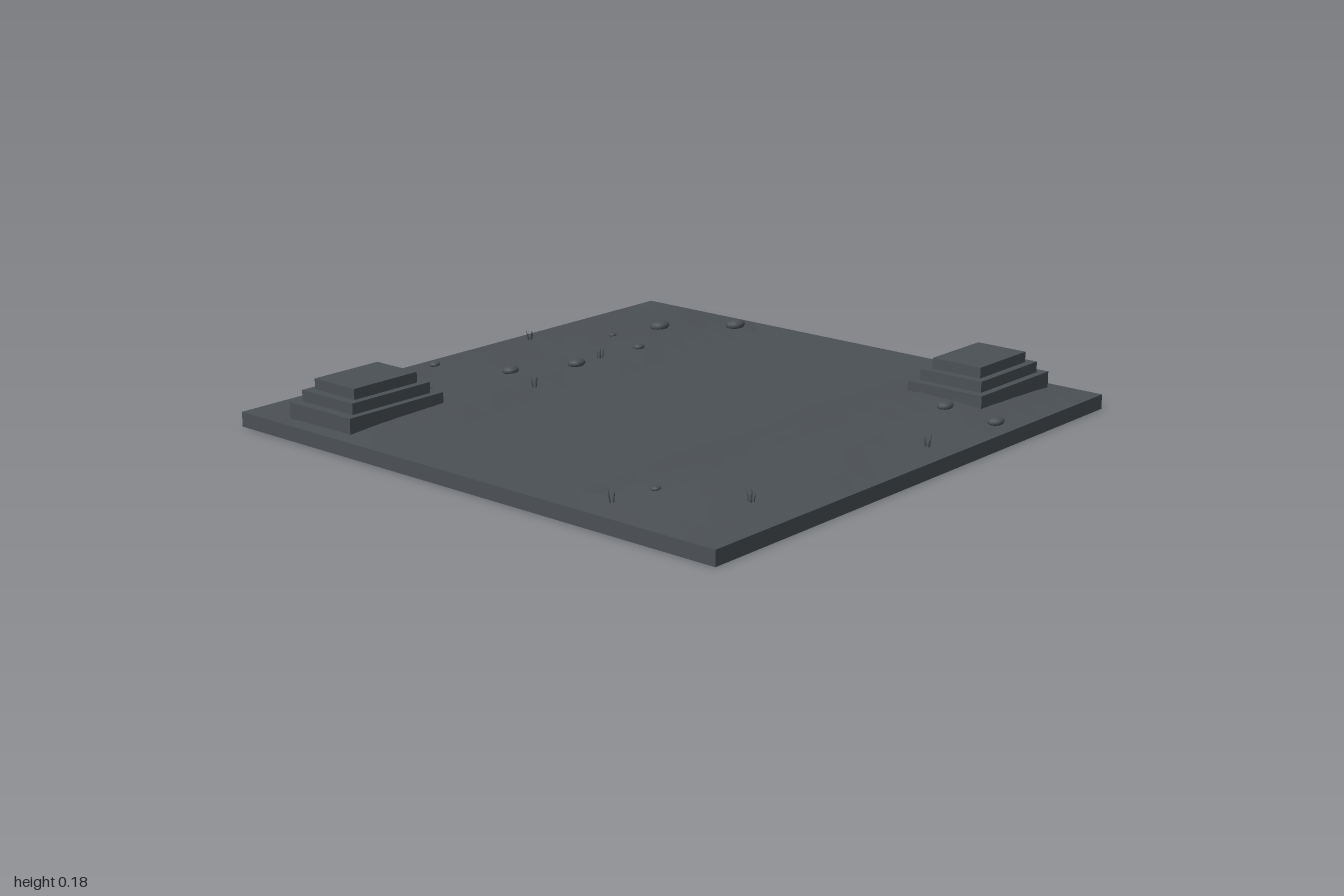
import * as THREE from 'three';

// Embankment cross-section: distance from the centre line -> rise above the slab
const ROWS = [0, 0.37, 0.5, 0.6, 0.75, 0.88, 1];
const RISE = [0, 0, 0.021, 0.029, 0.022, 0.012, 0];
const SLAB = 0.05;

function ground(x, z) {
  const d = Math.min(Math.abs(z), 1);
  let i = 0;
  while (i < ROWS.length - 2 && d > ROWS[i + 1]) i++;
  const t = (d - ROWS[i]) / (ROWS[i + 1] - ROWS[i]);
  return SLAB + (RISE[i] + (RISE[i + 1] - RISE[i]) * t) * (1 - x ** 4);
}

export function createModel() {
  const model = new THREE.Group();
  const stone = new THREE.MeshStandardMaterial({ color: 0x4c5156 });
  stone.name = 'slateGrey';

  const add = (parent, name, geometry, x, y, z) => {
    const mesh = new THREE.Mesh(geometry, stone);
    mesh.name = name;
    mesh.position.set(x, y, z);
    parent.add(mesh);
    return mesh;
  };

  // Ground slab with a flat road between two low, uneven embankments
  const slab = new THREE.BoxGeometry(2, 2, 2, 16, 1, 12);
  const p = slab.attributes.position;
  for (let i = 0; i < p.count; i++) {
    const x = p.getX(i);
    const k = Math.round((p.getZ(i) + 1) * 6) - 6;
    const row = Math.abs(k);
    const inner = row > 0 && row < 6 && Math.abs(x) < 0.99;
    const wobble = inner ? 0.015 * Math.sin(x * 9 + k * 2.3) : 0;
    const z = Math.sign(k) * (ROWS[row] + wobble);
    const y = p.getY(i) > 0 ? SLAB + RISE[row] * (1 - x ** 4) : 0;
    p.setXYZ(i, x, y, z);
  }
  const ground3d = slab.toNonIndexed();
  ground3d.computeVertexNormals();
  add(model, 'ground', ground3d, 0, 0, 0);

  // Two stepped plinths in opposite corners: width, depth, top height
  const steps = [[0.4, 0.29, 0.107], [0.332, 0.24, 0.144], [0.268, 0.188, 0.18]];
  for (const side of [-1, 1]) {
    const plinth = new THREE.Group();
    plinth.name = side < 0 ? 'backPlinth' : 'frontPlinth';
    plinth.position.set(0.75 * side, 0, 0.675 * side);
    let bottom = 0.04;
    for (const [w, d, top] of steps) {
      add(plinth, 'plinthStep', new THREE.BoxGeometry(w, top - bottom, d), 0, (top + bottom) / 2, 0);
      bottom = top;
    }
    model.add(plinth);
  }

  // Flattened pebbles: x, z, radius
  const pebbles = [
    [-0.22, -0.92, 0.022], [-0.5, -0.66, 0.021], [-0.16, -0.61, 0.033],
    [0.07, -0.52, 0.036], [0.38, -0.51, 0.025], [0.44, -0.69, 0.016],
    [0.64, -0.64, 0.042], [0.88, -0.48, 0.043], [-0.76, 0.575, 0.018],
    [0.47, 0.735, 0.034], [0.47, 0.93, 0.034],
  ];
  const pebbleShape = new THREE.SphereGeometry(1, 10, 6);
  for (const [x, z, r] of pebbles) {
    const pebble = add(model, 'pebble', pebbleShape, x, ground(x, z) + r * 0.2, z);
    pebble.scale.set(r, r * 0.42, r * 0.72);
  }

  // Grass tufts of thin leaning blades
  const blade = new THREE.ConeGeometry(0.004, 0.045, 4).translate(0, 0.018, 0);
  const tufts = [[-0.9, 0.53], [-0.65, 0.84], [0.12, 0.91], [-0.2, -0.46], [0.19, -0.52], [0.25, -0.92]];
  tufts.forEach(([x, z], n) => {
    const tuft = new THREE.Group();
    tuft.name = 'grassTuft';
    tuft.position.set(x, ground(x, z), z);
    for (let i = 0; i < 4; i++) {
      const a = i * Math.PI / 2 + n;
      const b = add(tuft, 'blade', blade, 0.007 * Math.cos(a), 0, 0.007 * Math.sin(a));
      b.rotation.set(0.2 * Math.sin(a), 0, -0.2 * Math.cos(a));
      b.scale.y = 0.7 + 0.12 * i;
    }
    model.add(tuft);
  });

  return model;
}
